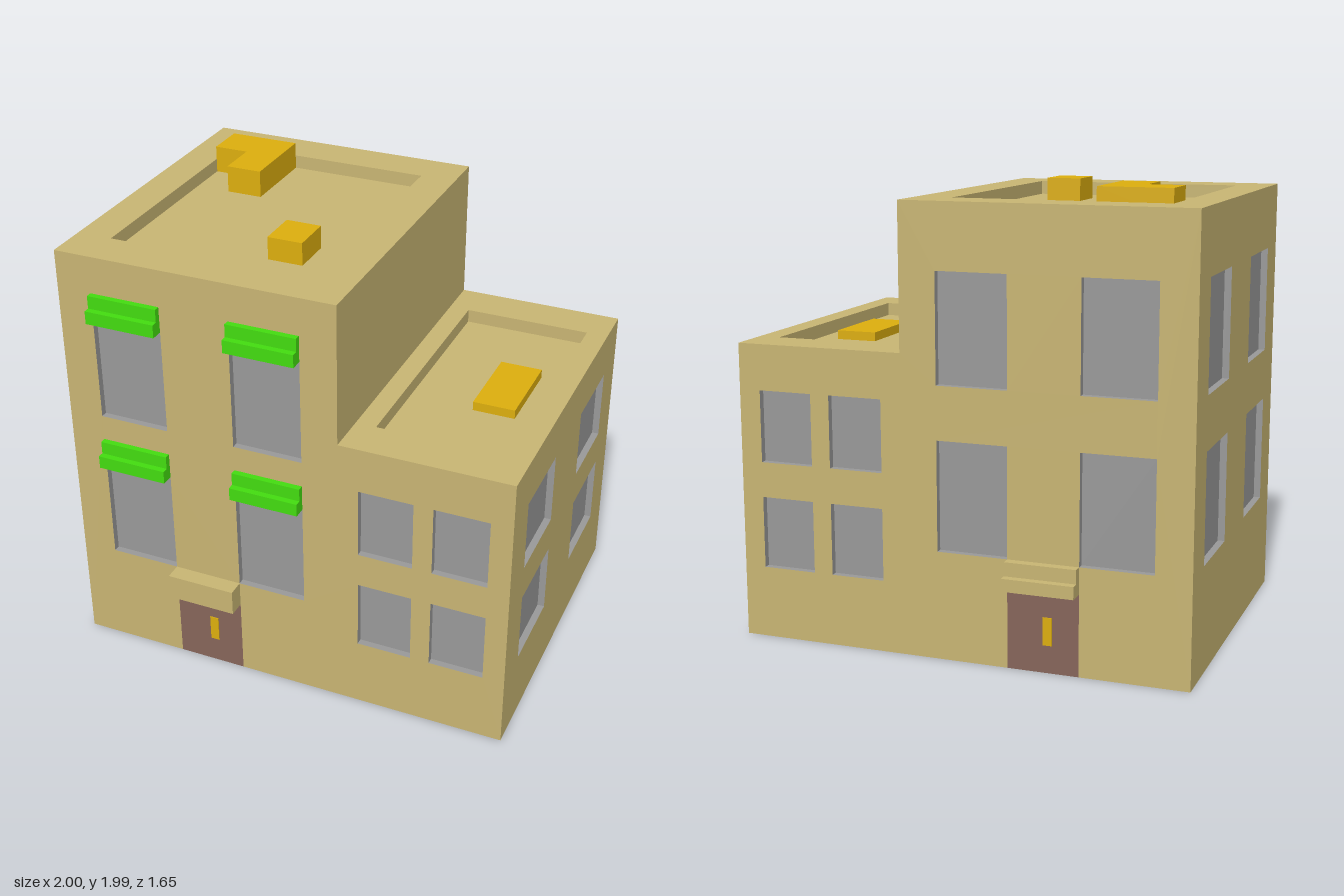
import * as THREE from 'three';

const mat = (color) => new THREE.MeshStandardMaterial({ color, flatShading: true });
const COLORS = { wall: 0xc8b573, glass: 0x999999, awning: 0x43dc10, door: 0x86655a, metal: 0xdcae0e };
const M = Object.fromEntries(Object.entries(COLORS).map(([k, c]) => [k, mat(c)]));

const TALL = 1.925, LOW = 1.3, STEP = 0.25, D = 0.75;
const DOOR = [-0.53, -0.22], DOOR_H = 0.355, CANOPY_TOP = 0.47;
const points = (list) => list.map(([x, y]) => new THREE.Vector2(x, y));
const rect = ([x0, y0, x1, y1]) => [[x0, y0], [x1, y0], [x1, y1], [x0, y1]];

function add(parent, name, geometry, material) {
  const mesh = new THREE.Mesh(geometry, material);
  mesh.name = name;
  parent.add(mesh);
  return mesh;
}

// Five inward-facing sides of a box, open towards +z
function recess([x0, y0, x1, y1], depth) {
  const g = new THREE.BoxGeometry(x1 - x0, y1 - y0, depth);
  g.scale(-1, -1, -1);
  g.setIndex(Array.from(g.index.array).slice(0, 30));
  g.clearGroups();
  g.computeVertexNormals();
  return g.translate((x0 + x1) / 2, (y0 + y1) / 2, -depth / 2);
}

// Flat wall or roof with sunken rectangular openings, drawn in its own xy plane
function panel(parent, name, outline, openings, inner) {
  const group = new THREE.Group();
  group.name = name;
  parent.add(group);
  const shape = new THREE.Shape(points(outline));
  shape.holes = openings.map((r) => new THREE.Path(points(rect(r).reverse())));
  add(group, name + 'Surface', new THREE.ShapeGeometry(shape), M.wall);
  for (const r of openings) add(group, inner.name, recess(r, inner.depth), inner.material);
  return group;
}

// Profile in (outwards, up) swept across x0..x1
function ledge(parent, name, profile, x0, x1, material) {
  const g = new THREE.ExtrudeGeometry(new THREE.Shape(points(profile)), { depth: x1 - x0, bevelEnabled: false });
  return add(parent, name, g.rotateY(-Math.PI / 2).translate(x1, 0, 0), material);
}

// Two-step ledge profile
const stepped = (y0, y1, y2, near, far) => [[0, y0], [far, y0], [far, y1], [near, y1], [near, y2], [0, y2]];

function block(parent, name, [x0, y0, z0], [x1, y1, z1], material) {
  const g = new THREE.BoxGeometry(x1 - x0, y1 - y0, z1 - z0);
  return add(parent, name, g.translate((x0 + x1) / 2, (y0 + y1) / 2, (z0 + z1) / 2), material);
}

export function createModel() {
  const model = new THREE.Group();
  model.name = 'building';
  const window = { name: 'window', depth: 0.03, material: M.glass };
  const roofWell = { name: 'roofWell', depth: 0.06, material: M.wall };

  const tallRows = [[0.47, 0.945], [1.175, 1.645]];
  const lowRows = [[0.315, 0.63], [0.785, 1.1]];
  const tallCols = [[-0.845, -0.53], [-0.22, 0.09]];
  const lowCols = [[0.34, 0.58], [0.665, 0.905]];
  const sideCols = [[-0.565, -0.19], [0.19, 0.565]];
  const grid = (cols, rows) => cols.flatMap(([x0, x1]) => rows.map(([y0, y1]) => [x0, y0, x1, y1]));

  // Front and back walls, stepped, with a doorway notch
  const outline = [[-1, 0], [DOOR[0], 0], [DOOR[0], DOOR_H], [DOOR[1], DOOR_H], [DOOR[1], 0],
    [1, 0], [1, LOW], [STEP, LOW], [STEP, TALL], [-1, TALL]];
  const windows = [...grid(tallCols, tallRows), ...grid(lowCols, lowRows)];
  const mirrored = windows.map(([x0, y0, x1, y1]) => [-x1, y0, -x0, y1]);

  const front = panel(model, 'frontWall', outline, windows, window);
  front.position.z = D;
  const back = panel(model, 'backWall', outline.map(([x, y]) => [-x, y]).reverse(), mirrored, window);
  back.position.z = -D;
  back.rotation.y = Math.PI;

  // Door, handle and canopy on both walls
  for (const [wall, s] of [[front, 1], [back, -1]]) {
    const [x0, x1] = s > 0 ? DOOR : [-DOOR[1], -DOOR[0]];
    const mid = (x0 + x1) / 2;
    add(wall, 'door', new THREE.ShapeGeometry(new THREE.Shape(points(rect([x0, 0, x1, DOOR_H])))), M.door);
    block(wall, 'doorHandle', [mid, 0.12, 0], [mid + 0.04, 0.24, 0.004], M.metal);
    const profile = s > 0 ? rect([0, DOOR_H, 0.075, CANOPY_TOP]) : stepped(DOOR_H, 0.41, CANOPY_TOP, 0.04, 0.075);
    ledge(wall, 'doorCanopy', profile, x0, x1, M.wall);
  }

  // Awnings over the tall front windows
  for (const [x0, x1] of tallCols)
    for (const [, y] of tallRows)
      ledge(front, 'awning', stepped(y, y + 0.058, y + 0.115, 0.027, 0.055), x0, x1, M.awning);

  // Side walls
  const left = panel(model, 'leftWall', rect([-D, 0, D, LOW]), grid(sideCols, lowRows), window);
  left.position.x = 1;
  left.rotation.y = Math.PI / 2;
  const right = panel(model, 'rightWall', rect([-D, 0, D, TALL]), grid(sideCols, tallRows), window);
  right.position.x = -1;
  right.rotation.y = -Math.PI / 2;
  const step = panel(model, 'upperStepWall', rect([-D, LOW, D, TALL]), [], window);
  step.position.x = STEP;
  step.rotation.y = Math.PI / 2;

  // Roofs with sunken wells, and the underside
  const tallRoof = panel(model, 'tallRoof', rect([-1, -D, STEP, D]), [[-0.845, -0.562, 0.09, 0.562]], roofWell);
  tallRoof.position.y = TALL;
  const lowRoof = panel(model, 'lowRoof', rect([STEP, -D, 1, D]), [[0.34, -0.562, 0.905, 0.562]], roofWell);
  lowRoof.position.y = LOW;
  for (const roof of [tallRoof, lowRoof]) roof.rotation.x = -Math.PI / 2;
  const base = panel(model, 'underside', rect([-1, -D, 1, D]), [], window);
  base.rotation.x = Math.PI / 2;

  // Roof equipment
  const floor = TALL - roofWell.depth, lowFloor = LOW - roofWell.depth;
  const duct = new THREE.Shape(points([[-0.845, 0.562], [-0.845, 0.38], [-0.69, 0.38],
    [-0.69, 0.19], [-0.53, 0.19], [-0.53, 0.562]]));
  add(model, 'roofDuct', new THREE.ExtrudeGeometry(duct, { depth: 1.985 - floor, bevelEnabled: false })
    .rotateX(-Math.PI / 2).translate(0, floor, 0), M.metal);
  block(model, 'roofVent', [-0.22, floor, 0.19], [-0.065, 1.965, 0.375], M.metal);
  block(model, 'lowRoofHatch', [0.625, lowFloor, -0.19], [0.81, lowFloor + 0.04, 0.185], M.metal);

  return model;
}
